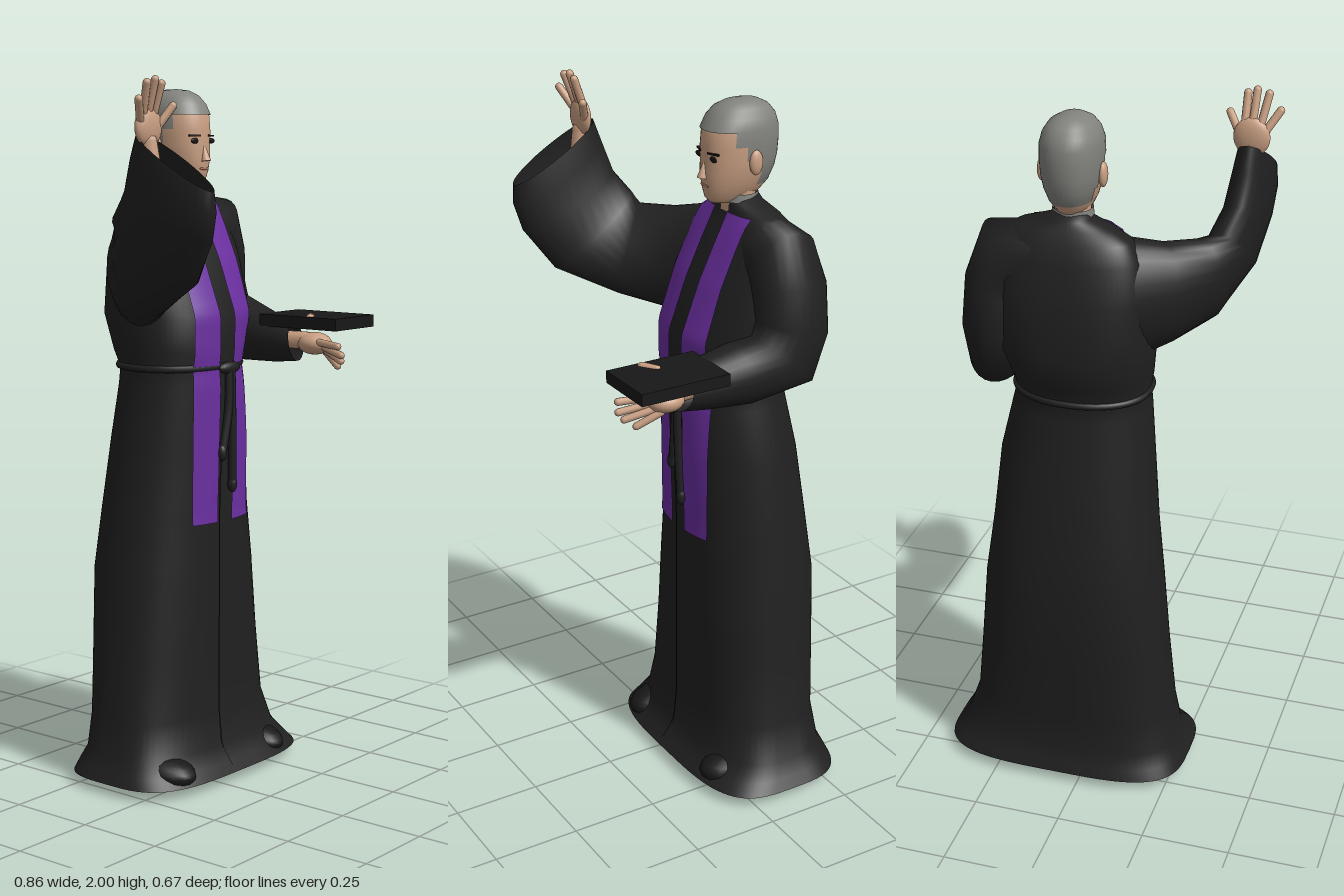
import * as THREE from 'three';

const V = (x, y, z) => new THREE.Vector3(x, y, z);
const mat = (name, color, side = THREE.FrontSide) => {
  const m = new THREE.MeshStandardMaterial({ color, side });
  m.name = name;
  return m;
};
const signedPow = (t, n) => Math.sign(t) * Math.pow(Math.abs(t), 2 / n);

// Surface through rings { c, u, v, n }; n is the squareness, keep(row, angle) drops faces.
function loft(rings, { seg = 40, capEnd = false, capStart = false, keep } = {}) {
  const pos = [], idx = [];
  for (const { c, u, v, n = 2 } of rings)
    for (let j = 0; j < seg; j++) {
      const a = (j / seg) * Math.PI * 2;
      pos.push(...c.clone().addScaledVector(u, signedPow(Math.cos(a), n)).addScaledVector(v, signedPow(Math.sin(a), n)).toArray());
    }
  for (let i = 0; i < rings.length - 1; i++)
    for (let j = 0; j < seg; j++) {
      if (keep && !keep(i, ((j + 0.5) / seg) * Math.PI * 2)) continue;
      const k = (j + 1) % seg, a = i * seg + j, b = i * seg + k;
      idx.push(a, a + seg, b, b, a + seg, b + seg);
    }
  const cap = (row, flip) => {
    const m = pos.length / 3;
    pos.push(...rings[row].c.toArray());
    for (let j = 0; j < seg; j++) {
      const a = row * seg + j, b = row * seg + (j + 1) % seg;
      idx.push(...(flip ? [m, a, b] : [m, b, a]));
    }
  };
  if (capStart) cap(0, true);
  if (capEnd) cap(rings.length - 1, false);
  const g = new THREE.BufferGeometry();
  g.setAttribute('position', new THREE.Float32BufferAttribute(pos, 3));
  g.setIndex(idx);
  g.computeVertexNormals();
  return g;
}

// Horizontal ring from [y, xMin, xMax, zMin, zMax, squareness]
const flatRing = ([y, x0, x1, z0, z1, n = 2.2], s = 1) => ({
  c: V((x0 + x1) / 2, y, (z0 + z1) / 2), u: V((x1 - x0) / 2 * s, 0, 0), v: V(0, 0, (z1 - z0) / 2 * s), n,
});

const ROBE = [
  [0.03, -0.285, 0.43, -0.335, 0.1, 3.5], [0.06, -0.27, 0.41, -0.325, 0.075, 3.3], [0.1, -0.25, 0.385, -0.31, 0.045, 3],
  [0.2, -0.235, 0.35, -0.31, 0.035, 2.7], [0.4, -0.217, 0.33, -0.325, 0.035, 2.5], [0.62, -0.2, 0.31, -0.335, 0.035, 2.4],
  [0.8, -0.183, 0.287, -0.32, 0.035, 2.2], [1.0, -0.167, 0.268, -0.295, 0.042, 2.1], [1.15, -0.153, 0.235, -0.268, 0.045, 2.1],
  [1.2, -0.147, 0.222, -0.26, 0.04, 2.2], [1.25, -0.155, 0.23, -0.28, 0.045, 2.3], [1.35, -0.165, 0.27, -0.312, 0.045, 2.4],
  [1.5, -0.16, 0.28, -0.29, -0.012, 2.5], [1.6, -0.14, 0.275, -0.262, -0.06, 2.5], [1.65, -0.11, 0.255, -0.24, -0.085, 2.5],
  [1.68, -0.06, 0.2, -0.22, -0.1, 2.5], [1.7, 0, 0.12, -0.205, -0.1, 2.3], [1.72, 0.005, 0.105, -0.195, -0.1, 2.2],
];

// Depth of the robe's front at a given x and y
function robeFront(x, y) {
  let i = 0;
  while (i < ROBE.length - 2 && ROBE[i + 1][0] < y) i++;
  const t = (y - ROBE[i][0]) / (ROBE[i + 1][0] - ROBE[i][0]);
  const [, x0, x1, z0, z1, n] = ROBE[i].map((p, k) => p + (ROBE[i + 1][k] - p) * t);
  const d = Math.min(1, Math.abs(x - (x0 + x1) / 2) / ((x1 - x0) / 2));
  return (z0 + z1) / 2 + (z1 - z0) / 2 * Math.pow(1 - Math.pow(d, n), 1 / n);
}

// Cloth band lying on the front of the robe
function band(x0, x1, y0, y1, lift) {
  const g = new THREE.PlaneGeometry(x1 - x0, y1 - y0, 6, 46);
  g.translate((x0 + x1) / 2, (y0 + y1) / 2, 0);
  const p = g.attributes.position;
  for (let i = 0; i < p.count; i++) p.setZ(i, robeFront(p.getX(i), p.getY(i)) + lift);
  g.computeVertexNormals();
  return g;
}

export function createModel() {
  const root = new THREE.Group();
  root.name = 'robedFigure';
  const cloth = mat('black cloth', 0x202020, THREE.DoubleSide);
  const dark = mat('dark leather', 0x181818);
  const purple = mat('purple cloth', 0x6b2fa0, THREE.DoubleSide);
  const skin = mat('skin', 0xc99f82);
  const hair = mat('grey hair', 0x82827e, THREE.DoubleSide);
  const lip = mat('lips', 0xa87462);
  const ink = mat('eye black', 0x1a1412);

  const add = (name, geo, m, parent = root) => {
    const mesh = new THREE.Mesh(geo, m);
    mesh.name = name;
    parent.add(mesh);
    return mesh;
  };
  const ball = (name, m, p, s, parent = root) => {
    const b = add(name, new THREE.SphereGeometry(1, 20, 14), m, parent);
    b.position.set(...p);
    b.scale.set(...s);
    return b;
  };
  const limb = (name, m, a, b, r, parent = root) => {
    const p = V(...a), d = V(...b).sub(p);
    const mesh = add(name, new THREE.CapsuleGeometry(r, d.length(), 4, 10), m, parent);
    mesh.position.copy(p).addScaledVector(d, 0.5);
    mesh.quaternion.setFromUnitVectors(V(0, 1, 0), d.normalize());
    return mesh;
  };
  const tube = (name, pts, r, closed = false) =>
    add(name, new THREE.TubeGeometry(new THREE.CatmullRomCurve3(pts, closed), 64, r, 8, closed), cloth);

  // Robe, stole and front seam
  add('robe', loft(ROBE.map(r => flatRing(r)), { seg: 64, capEnd: true }), cloth);
  add('rightStole', band(-0.07, 0.02, 0.76, 1.68, 0.009), purple);
  add('leftStole', band(0.083, 0.175, 0.76, 1.68, 0.009), purple);
  add('frontSeam', band(0.03, 0.036, 0.05, 1.0, 0.004), dark);

  // Rope belt with knot and hanging ends
  const beltRing = [];
  for (let i = 0; i < 28; i++) {
    const a = (i / 28) * Math.PI * 2;
    beltRing.push(V(0.0375 + 0.186 * signedPow(Math.cos(a), 2.2), 1.205, -0.111 + 0.153 * signedPow(Math.sin(a), 2.2)));
  }
  tube('belt', beltRing, 0.01, true);
  ball('beltKnot', cloth, [0.06, 1.2, 0.052], [0.045, 0.018, 0.016]);
  tube('shortRopeEnd', [V(0.055, 1.2, 0.055), V(0.052, 1.08, 0.055), V(0.03, 0.95, 0.05)], 0.012);
  tube('longRopeEnd', [V(0.065, 1.2, 0.055), V(0.07, 1.02, 0.055), V(0.077, 0.85, 0.05)], 0.012);
  ball('shortTassel', cloth, [0.03, 0.96, 0.05], [0.014, 0.025, 0.014]);
  ball('longTassel', cloth, [0.077, 0.865, 0.05], [0.014, 0.025, 0.014]);

  // Sleeves: each row is centre, first half-axis, second half-axis
  const sleeve = (name, rows) =>
    add(name, loft(rows.map(([c, u, v]) => ({ c: V(...c), u: V(...u), v: V(...v) })), { seg: 28 }), cloth);
  sleeve('rightSleeve', [
    [[-0.02, 1.51, -0.15], [0, 0.15, 0], [0, 0, 0.1]],
    [[-0.1, 1.475, -0.13], [0, 0.172, 0], [0.04, 0, 0.095]],
    [[-0.18, 1.48, -0.07], [0, 0.145, -0.01], [0.06, 0, 0.07]],
    [[-0.262, 1.495, 0.015], [0, 0.125, -0.035], [0.066, 0, 0.05]],
    [[-0.315, 1.55, 0.1], [0, 0.09, -0.125], [0.068, 0, 0.025]],
    [[-0.34, 1.64, 0.165], [0, 0.065, -0.142], [0.06, 0, 0]],
    [[-0.35, 1.72, 0.19], [0, 0.07, -0.138], [0.057, 0, 0]],
    [[-0.353, 1.78, 0.2], [0, 0.075, -0.125], [0.048, 0, 0]],
  ]);
  sleeve('leftSleeve', [
    [[0.13, 1.59, -0.165], [0.015, 0.095, 0], [0, 0, -0.09]],
    [[0.23, 1.575, -0.165], [0.062, 0.09, 0], [0, 0, -0.1]],
    [[0.255, 1.5, -0.175], [0.085, 0.03, 0], [0, 0, -0.11]],
    [[0.26, 1.4, -0.18], [0.092, 0, 0], [0, -0.03, -0.11]],
    [[0.26, 1.31, -0.15], [0.09, 0, 0], [0, -0.08, -0.09]],
    [[0.25, 1.285, -0.02], [0.085, 0, -0.01], [0, -0.085, -0.02]],
    [[0.235, 1.272, 0.09], [0.07, 0, -0.02], [0, -0.068, 0]],
    [[0.228, 1.268, 0.16], [0.062, 0, -0.02], [0, -0.055, 0.01]],
  ]);

  // Raised right hand, palm forward
  const rh = new THREE.Group();
  rh.name = 'rightHand';
  root.add(rh);
  limb('forearm', skin, [-0.348, 1.7, 0.13], [-0.355, 1.83, 0.11], 0.026, rh);
  ball('palm', skin, [-0.355, 1.868, 0.112], [0.05, 0.053, 0.02], rh);
  [[-0.39, 1.885, -0.424, 1.938], [-0.378, 1.905, -0.392, 1.98], [-0.356, 1.91, -0.36, 1.988], [-0.335, 1.905, -0.335, 1.978],
    [-0.325, 1.865, -0.289, 1.922]].forEach(([x0, y0, x1, y1], i) =>
    limb('finger' + (i + 1), skin, [x0, y0, 0.115], [x1, y1, 0.14], 0.011, rh));

  // Left hand holding the book
  const lh = new THREE.Group();
  lh.name = 'leftHand';
  root.add(lh);
  limb('wrist', skin, [0.24, 1.27, 0.08], [0.25, 1.27, 0.18], 0.026, lh);
  ball('palm', skin, [0.257, 1.263, 0.205], [0.045, 0.032, 0.052], lh);
  [[0.235, 1.27, 0.207, 1.265, 0.32], [0.25, 1.26, 0.217, 1.24, 0.325], [0.265, 1.25, 0.23, 1.222, 0.315],
    [0.275, 1.24, 0.25, 1.205, 0.29]].forEach(([x0, y0, x1, y1, z1], i) =>
    limb('finger' + (i + 1), skin, [x0, y0, 0.23], [x1, y1, z1], 0.0105, lh));
  limb('thumb', skin, [0.225, 1.34, 0.213], [0.19, 1.342, 0.237], 0.012, lh);
  add('book', new THREE.BoxGeometry(0.186, 0.034, 0.265), dark).position.set(0.267, 1.328, 0.203);

  // Shoes
  for (const [name, x] of [['rightShoe', -0.15], ['leftShoe', 0.26]])
    ball(name, dark, [x, 0.055, -0.06], [0.08, 0.055, 0.15]);

  // Head
  const head = new THREE.Group();
  head.name = 'head';
  root.add(head);
  const HEAD = [
    [1.705, 0.025, 0.085, -0.17, -0.055], [1.72, 0.012, 0.098, -0.197, -0.042], [1.75, -0.004, 0.114, -0.225, -0.035],
    [1.785, -0.015, 0.125, -0.24, -0.032], [1.82, -0.021, 0.131, -0.247, -0.034], [1.86, -0.023, 0.133, -0.25, -0.034],
    [1.9, -0.023, 0.133, -0.249, -0.038], [1.93, -0.015, 0.125, -0.24, -0.052], [1.953, 0.0, 0.11, -0.222, -0.073],
    [1.967, 0.023, 0.087, -0.195, -0.1], [1.971, 0.045, 0.065, -0.165, -0.13],
  ];
  add('face', loft(HEAD.map(r => flatRing(r)), { capEnd: true, capStart: true }), skin, head);
  // Hair shell leaves the face open below the hairline
  const limits = [-0.3, -0.3, -0.3, -0.2, 0.1, 0.42];
  add('hair', loft(HEAD.map(([y, ...r]) => flatRing([y + 0.004, ...r], 1.04)), {
    capEnd: true, keep: (i, a) => i >= limits.length || Math.sin(a) < limits[i],
  }), hair, head);
  limb('neck', skin, [0.055, 1.68, -0.145], [0.055, 1.76, -0.14], 0.05, head);
  add('collar', new THREE.CylinderGeometry(0.054, 0.056, 0.022, 28, 1, true), hair, head).position.set(0.055, 1.715, -0.143);

  // Face details, mirrored about the middle of the face
  for (const s of [-1, 1]) {
    const x = 0.055 + s * 0.034;
    ball('ear', skin, [0.055 + s * 0.083, 1.82, -0.145], [0.012, 0.034, 0.02], head);
    ball('eye', ink, [x, 1.832, -0.041], [0.018, 0.008, 0.004], head);
    const brow = add('brow', new THREE.BoxGeometry(0.036, 0.005, 0.008), ink, head);
    brow.position.set(x, 1.846, -0.042);
    brow.rotation.y = s * 0.3;
  }
  const nose = add('nose', new THREE.ConeGeometry(0.015, 0.055, 12), skin, head);
  nose.position.set(0.055, 1.803, -0.034);
  nose.rotation.x = -0.15;
  ball('mouth', lip, [0.055, 1.755, -0.036], [0.02, 0.004, 0.003], head);

  return root;
}
